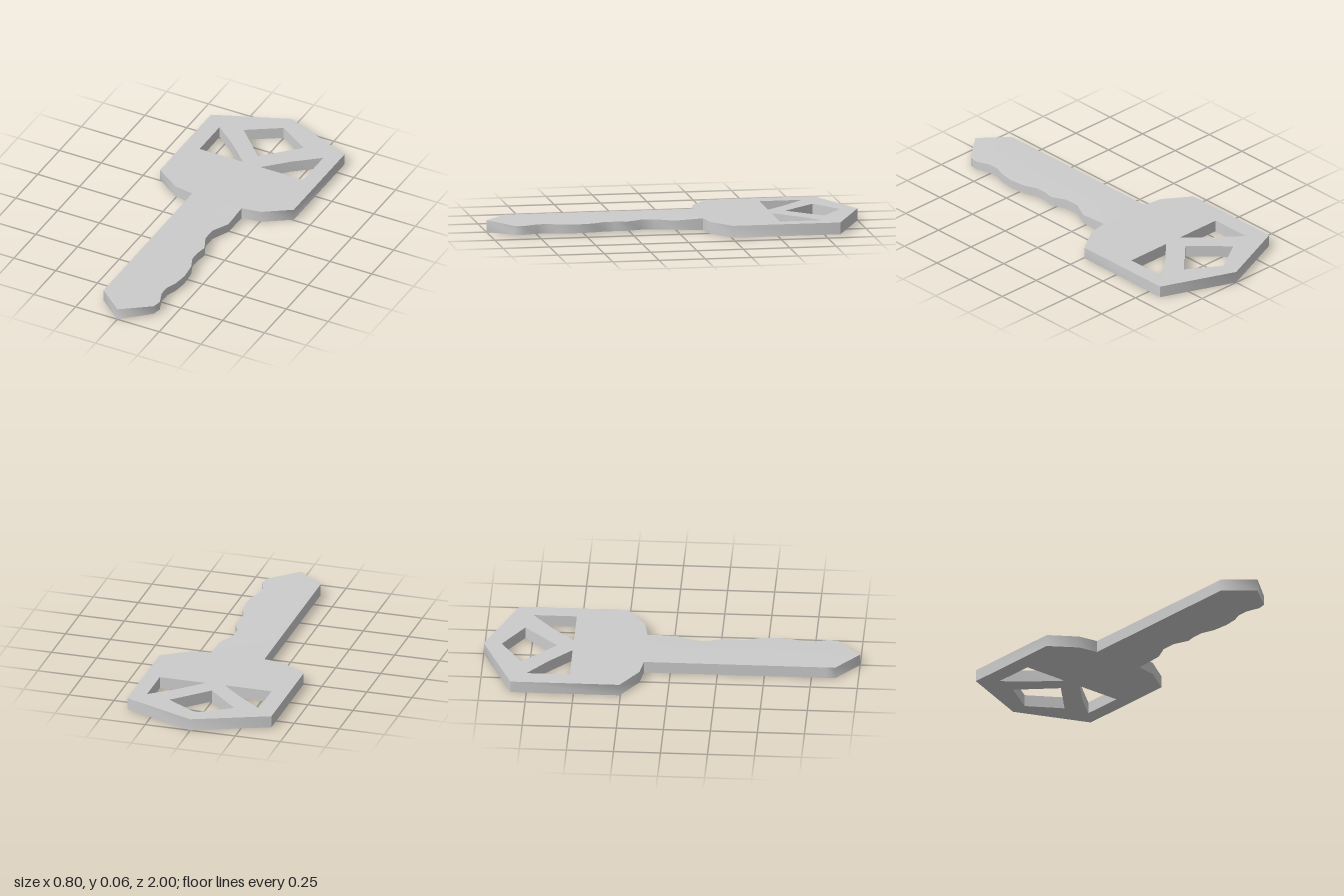
import * as THREE from 'three';
import { toCreasedNormals } from 'three/addons/utils/BufferGeometryUtils.js';

const THICKNESS = 0.064;
const SHOULDER_Z = -0.14;
const BLADE_HALF = 0.148;

// Plan points are [x, z]; the shape's y axis becomes -z once laid flat.
const toPoints = (plan) => plan.map(([x, z]) => new THREE.Vector2(x, -z));

// Head: mirrored outline with a diamond and two triangular windows
function headGeometry() {
  const half = [[0.4, -0.835], [0.4, -0.255], [0.255, -0.157], [BLADE_HALF, SHOULDER_Z]];
  const mirrored = half.map(([x, z]) => [-x, z]);
  const windows = [
    [[0, -0.905], [-0.18, -0.79], [0, -0.61], [0.18, -0.79]],
    [[0.315, -0.755], [0.18, -0.645], [0.06, -0.525], [0.315, -0.525]],
    [[-0.305, -0.755], [-0.305, -0.525], [-0.045, -0.525], [-0.17, -0.645]],
  ];
  // Outline runs counter-clockwise, as do the windows
  const shape = new THREE.Shape(toPoints([[0, -1], ...mirrored, ...half.reverse()]));
  shape.holes = windows.map((hole) => new THREE.Path(toPoints(hole)));
  const geometry = new THREE.ExtrudeGeometry(shape, { depth: THICKNESS, bevelEnabled: false });
  return toCreasedNormals(geometry.rotateX(-Math.PI / 2), 1.1);
}

// Blade: six-cornered sections from shoulder to tip, thinning from a ridge to the teeth
function bladeGeometry() {
  // Toothed edge as [x, z]
  const teeth = [
    [BLADE_HALF, SHOULDER_Z], [0.15, 0.015], [0.104, 0.11], [0.104, 0.19],
    [0.14, 0.27], [0.13, 0.33], [0.13, 0.39], [0.157, 0.455], [0.167, 0.55],
    [0.157, 0.63], [0.135, 0.69], [0.135, 0.75], [0.162, 0.825], [0.152, 0.875],
  ];
  const positions = [];
  const indices = [];
  const addSection = (left, ridge, right, z, inset) => positions.push(
    left, 0, z, ridge, 0, z, right, inset, z,
    right, THICKNESS - inset, z, ridge, THICKNESS, z, left, THICKNESS, z,
  );
  teeth.forEach(([x, z], i) => {
    const inset = i === 0 ? 0 : (x - 0.015) * 0.056; // full thickness at the shoulder
    addSection(-BLADE_HALF, 0.015, x, z, inset);
  });
  addSection(0, 0, 0, 1, 0); // pointed tip

  for (let s = 0; s < teeth.length; s++) {
    for (let k = 0; k < 6; k++) {
      const a = s * 6 + k;
      const b = s * 6 + ((k + 1) % 6);
      indices.push(a, b, b + 6, a, b + 6, a + 6);
    }
  }
  const geometry = new THREE.BufferGeometry();
  geometry.setAttribute('position', new THREE.Float32BufferAttribute(positions, 3));
  geometry.setIndex(indices);
  return toCreasedNormals(geometry, 1.45);
}

export function createModel() {
  const group = new THREE.Group();
  group.name = 'key';
  const material = new THREE.MeshStandardMaterial({ color: 0xcccccc });
  const parts = { head: headGeometry(), blade: bladeGeometry() };
  for (const [name, geometry] of Object.entries(parts)) {
    const mesh = new THREE.Mesh(geometry, material);
    mesh.name = name;
    group.add(mesh);
  }
  return group;
}
